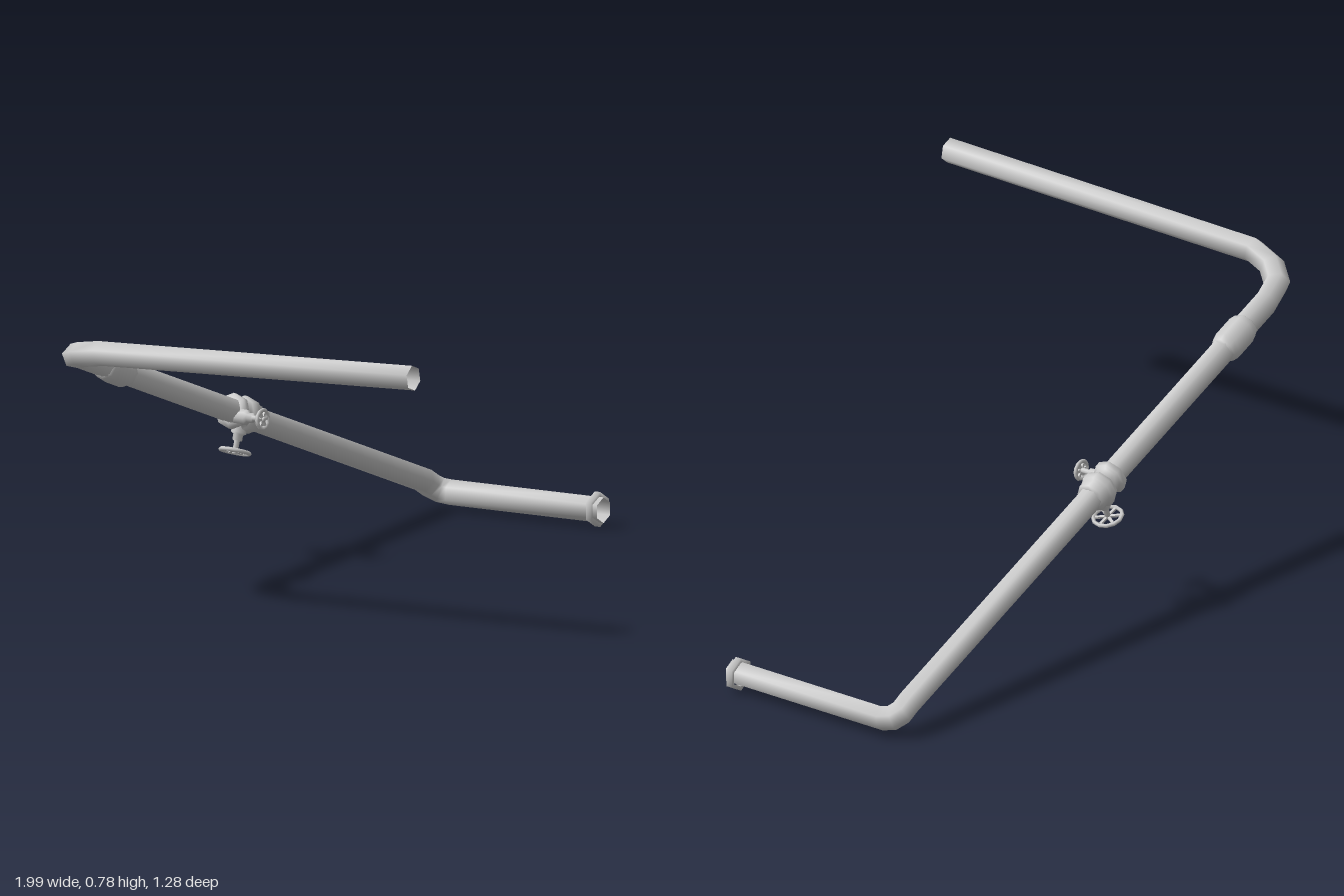
import * as THREE from 'three';

const V = (x, y, z) => new THREE.Vector3(x, y, z);
const mat = new THREE.MeshStandardMaterial({ color: 0xcccccc, side: THREE.DoubleSide });
const UP = V(0, 1, 0);
const SIDES = 6;

// Point on the axis of the long sloping run
const onRun = (x) => V(x, 0.394 - 0.345 * x, -0.579 - 0.0263 * x);
const runDir = onRun(1).sub(onRun(0)).normalize();

// Open six-sided tube with mitred joints through the given points
function sweepPipe(points, radius) {
  const pos = [], index = [];
  const dirs = points.slice(1).map((p, i) => p.clone().sub(points[i]).normalize());
  let normal = UP.clone();
  points.forEach((p, i) => {
    const before = dirs[Math.max(i - 1, 0)];
    const after = dirs[Math.min(i, dirs.length - 1)];
    const tangent = before.clone().add(after).normalize();
    normal.addScaledVector(before, -normal.dot(before)).normalize();
    const side = before.clone().cross(normal);
    for (let k = 0; k < SIDES; k++) {
      const a = (k / SIDES) * Math.PI * 2;
      const off = normal.clone().multiplyScalar(Math.cos(a) * radius)
        .addScaledVector(side, Math.sin(a) * radius);
      // slide along the incoming run onto the mitre plane
      off.addScaledVector(before, -off.dot(tangent) / before.dot(tangent));
      pos.push(...p.clone().add(off).toArray());
    }
    normal.applyQuaternion(new THREE.Quaternion().setFromUnitVectors(before, after));
  });
  for (let i = 0; i < points.length - 1; i++) {
    for (let k = 0; k < SIDES; k++) {
      const a = i * SIDES + k, b = i * SIDES + (k + 1) % SIDES;
      index.push(a, b, a + SIDES, b, b + SIDES, a + SIDES);
    }
  }
  const g = new THREE.BufferGeometry();
  g.setAttribute('position', new THREE.Float32BufferAttribute(pos, 3));
  g.setIndex(index);
  g.computeVertexNormals();
  return g;
}

// Turned part: profile of [radius, distance] pairs along an axis
function turned(name, profile, origin, dir, sides = 8) {
  const g = new THREE.LatheGeometry(profile.map(([r, y]) => new THREE.Vector2(r, y)), sides);
  const m = new THREE.Mesh(g, mat);
  m.name = name;
  m.position.copy(origin);
  m.quaternion.setFromUnitVectors(UP, dir);
  return m;
}

// Stem with bonnet and spoked handwheel, pointing along dir
function valveHandle(name, origin, dir, length, wheelRadius) {
  const group = new THREE.Group();
  group.name = name;
  group.position.copy(origin);
  group.quaternion.setFromUnitVectors(UP, dir);
  group.add(turned('valveStem', [
    [0.022, 0], [0.022, length * 0.5], [0.014, length * 0.55], [0.014, length * 0.7],
    [0.008, length * 0.72], [0.008, length + 0.006], [0, length + 0.006],
  ], V(0, 0, 0), UP));
  const rim = new THREE.Mesh(new THREE.TorusGeometry(wheelRadius - 0.006, 0.006, 5, 12), mat);
  rim.name = 'handwheelRim';
  rim.rotation.x = Math.PI / 2;
  rim.position.y = length;
  group.add(rim);
  for (let i = 0; i < 3; i++) {
    const spoke = new THREE.Mesh(new THREE.BoxGeometry(wheelRadius * 2 - 0.012, 0.006, 0.008), mat);
    spoke.name = 'handwheelSpoke';
    spoke.position.y = length;
    spoke.rotation.y = (i * Math.PI) / 3;
    group.add(spoke);
  }
  return group;
}

export function createModel() {
  const model = new THREE.Group();
  model.name = 'pipeRun';

  // Main pipe from the low open end to the high open end
  const pipe = new THREE.Mesh(sweepPipe([
    V(0.948, 0.05, -0.04), V(0.948, 0.05, -0.555), V(0.938, 0.055, -0.583), V(0.918, 0.069, -0.6),
    onRun(0.885), onRun(-0.8),
    V(-0.885, 0.69, -0.532), V(-0.937, 0.707, -0.475), V(-0.964, 0.722, -0.39),
    V(-0.934, 0.75, 0.64),
  ], 0.036), mat);
  pipe.name = 'pipe';
  model.add(pipe);

  // Flange near the low end
  const flange = turned('endFlange', [
    [0.036, -0.009], [0.049, -0.009], [0.049, 0.009], [0.036, 0.009],
  ], V(0.953, 0.05, -0.064), V(0, 0, 1), 6);
  model.add(flange);

  // Sleeve coupling beside the upper bend
  model.add(turned('sleeveCoupling', [
    [0.034, -0.06], [0.04, -0.055], [0.045, -0.035], [0.045, 0.035], [0.04, 0.055], [0.034, 0.06],
  ], onRun(-0.65), runDir));

  // Valve body: two stepped collars joined by a neck
  model.add(turned('valveBody', [
    [0.034, -0.05], [0.05, -0.046], [0.05, -0.028], [0.04, -0.024], [0.04, -0.004],
    [0.048, 0], [0.054, 0.012], [0.054, 0.03], [0.046, 0.036], [0.046, 0.058], [0.034, 0.062],
  ], onRun(-0.03), runDir));

  // Handles: one facing front, one hanging square to the run
  const down = V(runDir.y, -runDir.x, 0).normalize();
  model.add(valveHandle('frontValveHandle', V(-0.073, 0.405, -0.577), V(0, 0, 1), 0.106, 0.032));
  model.add(valveHandle('lowerValveHandle', onRun(-0.018), down, 0.104, 0.047));

  return model;
}
